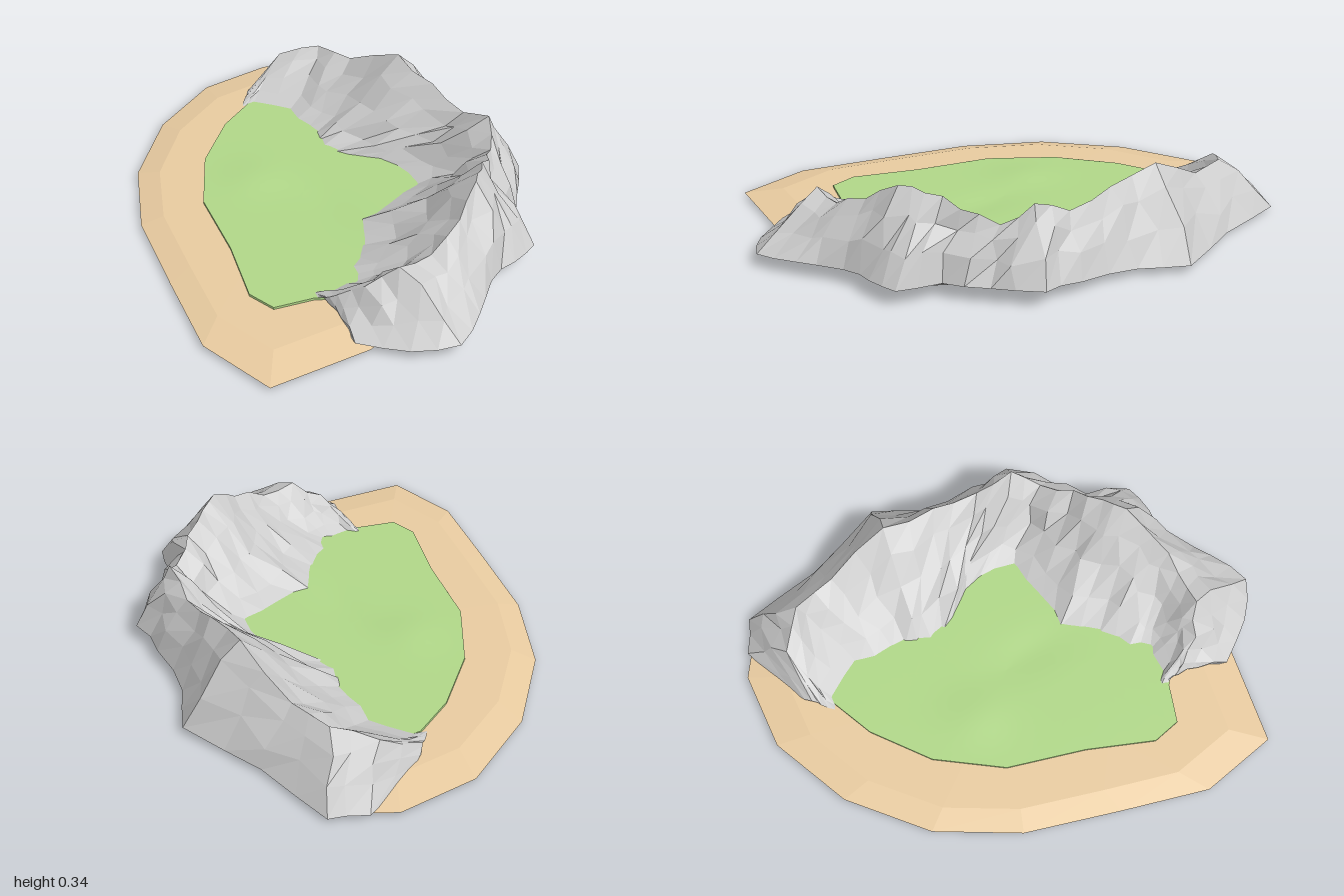
import * as THREE from 'three';

// Skin over rows of equal point count; rows run from outside to inside, points clockwise from above
function loft(rows, closed, flat) {
  const n = rows[0].length, index = [];
  for (let r = 0; r < rows.length - 1; r++) {
    for (let c = 0; c < (closed ? n : n - 1); c++) {
      const a = r * n + c, b = r * n + (c + 1) % n;
      index.push(a, a + n, b, b, a + n, b + n);
    }
  }
  const geo = new THREE.BufferGeometry();
  geo.setAttribute('position', new THREE.Float32BufferAttribute(rows.flat(2), 3));
  geo.setIndex(index);
  const out = flat ? geo.toNonIndexed() : geo;
  out.computeVertexNormals();
  return out;
}

function addPart(group, name, geometry, color, flat) {
  const material = new THREE.MeshStandardMaterial({ color, flatShading: flat, side: THREE.DoubleSide });
  const mesh = new THREE.Mesh(geometry, material);
  mesh.name = name;
  group.add(mesh);
}

// Outline shrunk towards a centre, with a height number or height rule
const ring = (outline, [cx, cz], k, y) => outline.map(([x, z]) => {
  const px = cx + (x - cx) * k, pz = cz + (z - cz) * k;
  return [px, typeof y === 'function' ? y(px, pz) : y, pz];
});

function seeded(seed) {
  return () => {
    seed = (seed * 16807) % 2147483647;
    return seed / 2147483647 - 0.5;
  };
}

// Open arc of the shore
const SAND = [[0.53, 0.4], [0.2, 0.8], [-0.1, 1], [-0.34, 0.83], [-0.5, 0.54], [-0.67, 0.22], [-0.75, -0.1],
  [-0.72, -0.44], [-0.59, -0.74], [-0.37, -0.93], [-0.2, -0.96], [-0.05, -0.88]];
const GRASS = [[-0.13, 0.66], [-0.22, 0.6], [-0.32, 0.36], [-0.46, 0.1], [-0.5, -0.17], [-0.46, -0.42], [-0.39, -0.58],
  [-0.3, -0.65], [0.05, -0.64], [0.37, -0.51], [0.47, -0.2], [0.52, 0.14], [0.4, 0.4], [0.15, 0.58], [0, 0.6]];
const BASE = [[0.04, 0.66], [-0.2, 0.45], [-0.4, 0.1], [-0.54, -0.2], [-0.45, -0.53], [-0.1, -0.62],
  [0.27, -0.5], [0.45, -0.25], [0.58, 0.17], [0.4, 0.45]];

// Ridge stations: inner foot x z, crest x z height, outer foot x z
const RIDGE = [
  [-0.41, -0.57, -0.405, -0.66, 0.05, -0.39, -0.76],
  [-0.37, -0.58, -0.28, -0.78, 0.17, -0.28, -0.96],
  [-0.22, -0.54, -0.12, -0.79, 0.21, -0.15, -1.0],
  [-0.13, -0.43, 0.02, -0.7, 0.21, 0.1, -0.82],
  [-0.08, -0.35, 0.22, -0.55, 0.325, 0.4, -0.68],
  [-0.02, -0.27, 0.36, -0.4, 0.29, 0.45, -0.5],
  [0.1, -0.24, 0.48, -0.27, 0.25, 0.59, -0.32],
  [0.22, -0.2, 0.57, -0.16, 0.31, 0.7, -0.21],
  [0.31, -0.08, 0.58, -0.05, 0.235, 0.69, -0.03],
  [0.2, 0.06, 0.57, 0.08, 0.28, 0.66, 0.13],
  [0.12, 0.15, 0.54, 0.2, 0.32, 0.74, 0.27],
  [0.13, 0.3, 0.52, 0.29, 0.335, 0.67, 0.37],
  [0.1, 0.42, 0.47, 0.41, 0.26, 0.59, 0.47],
  [0.12, 0.5, 0.38, 0.53, 0.2, 0.55, 0.64],
  [0.06, 0.54, 0.28, 0.62, 0.215, 0.49, 0.79],
  [0.0, 0.56, 0.17, 0.65, 0.15, 0.33, 0.82],
  [-0.01, 0.57, 0.08, 0.63, 0.09, 0.15, 0.79],
  [-0.01, 0.58, 0.03, 0.6, 0.05, 0.1, 0.67],
];

function ridgeGeometry() {
  const rand = seeded(77);
  // Halfway stations roughen the outline
  const stations = [];
  RIDGE.forEach((s, i) => {
    stations.push(s);
    const next = RIDGE[i + 1];
    if (next) stations.push(s.map((v, k) => (v + next[k]) / 2 + rand() * Math.min(0.025, s[4] * 0.12)));
  });
  const rows = [];
  const addRow = (make) => rows.push(stations.map(make));
  // The outer foot lifts towards the east and the front
  const { clamp } = THREE.MathUtils;
  const footHeight = (x, z) => 0.015 + 0.045 * clamp((x - 0.2) / 0.5, 0, 1) ** 1.5 + 0.012 * clamp((z - 0.3) / 0.3, 0, 1);
  // Narrow underside lip
  addRow(([, , cx, cz, , ox, oz]) => [ox + (cx - ox) * 0.4, 0.6 * footHeight(ox, oz), oz + (cz - oz) * 0.4]);
  // Outer cliff, bulging and steep
  for (const t of [0, 0.35, 0.7]) {
    addRow(([, , cx, cz, h, ox, oz]) => {
      const j = t ? Math.min(0.04, h * 0.2) : 0;
      const foot = footHeight(ox, oz);
      return [ox + (cx - ox) * t + rand() * j, foot + (h - foot) * t ** 0.9 + rand() * j * h * 3,
        oz + (cz - oz) * t + rand() * j];
    });
  }
  addRow(([, , cx, cz, h]) => [cx, h, cz]);
  // Inner slope, easing out towards the grass
  for (const t of [0.8, 0.55, 0.28, 0]) {
    addRow(([ix, iz, cx, cz, h]) => {
      const j = t ? Math.min(0.04, h * 0.2) : 0;
      return [ix + (cx - ix) * t + rand() * j, 0.037 + (h - 0.037) * t ** 1.35 + rand() * j * h * 2,
        iz + (cz - iz) * t + rand() * j];
    });
  }
  return loft(rows, false, true);
}

export function createModel() {
  const group = new THREE.Group();
  group.name = 'rockyIsland';

  // Rock plate underneath
  const bc = [0, 0];
  addPart(group, 'rockBase', loft([
    ring(BASE, bc, 0, 0), ring(BASE, bc, 0.8, 0), ring(BASE, bc, 1, 0.008),
  ], true, true), 0xcccccc, true);

  // Beach: an open strip with a sloping rim, tucked under the meadow
  const sc = [-0.15, 0];
  addPart(group, 'beach', loft([
    ring(SAND, sc, 1, 0.012), ring(SAND, sc, 0.85, 0.034), ring(SAND, sc, 0.52, 0.036),
  ], false, true), 0xe8cba0, true);

  // Meadow: a slab edge and a smooth top with a low mound and a hollow beside it
  const gc = [-0.1, 0];
  const hill = (x, z) => 0.044 + 0.01 * Math.exp(-((x + 0.3) ** 2 + (z + 0.06) ** 2) / 0.012)
    - 0.007 * Math.exp(-(((x - z + 0.08) ** 2) / 0.012 + ((x + z - 0.05) ** 2) / 0.06));
  addPart(group, 'meadowEdge', loft([
    ring(GRASS, gc, 0, 0.024), ring(GRASS, gc, 1, 0.024), ring(GRASS, gc, 1, hill),
  ], true, true), 0xb0d788, true);
  const fine = GRASS.flatMap((p, i) => {
    const q = GRASS[(i + 1) % GRASS.length];
    return [0, 0.25, 0.5, 0.75].map((t) => [p[0] + (q[0] - p[0]) * t, p[1] + (q[1] - p[1]) * t]);
  });
  const top = [];
  for (let i = 0; i <= 14; i++) top.push(ring(fine, gc, 1 - i / 14, hill));
  addPart(group, 'meadow', loft(top, true, false), 0xb0d788, false);

  // Crescent of crags
  addPart(group, 'rockRidge', ridgeGeometry(), 0xcccccc, true);
  return group;
}
